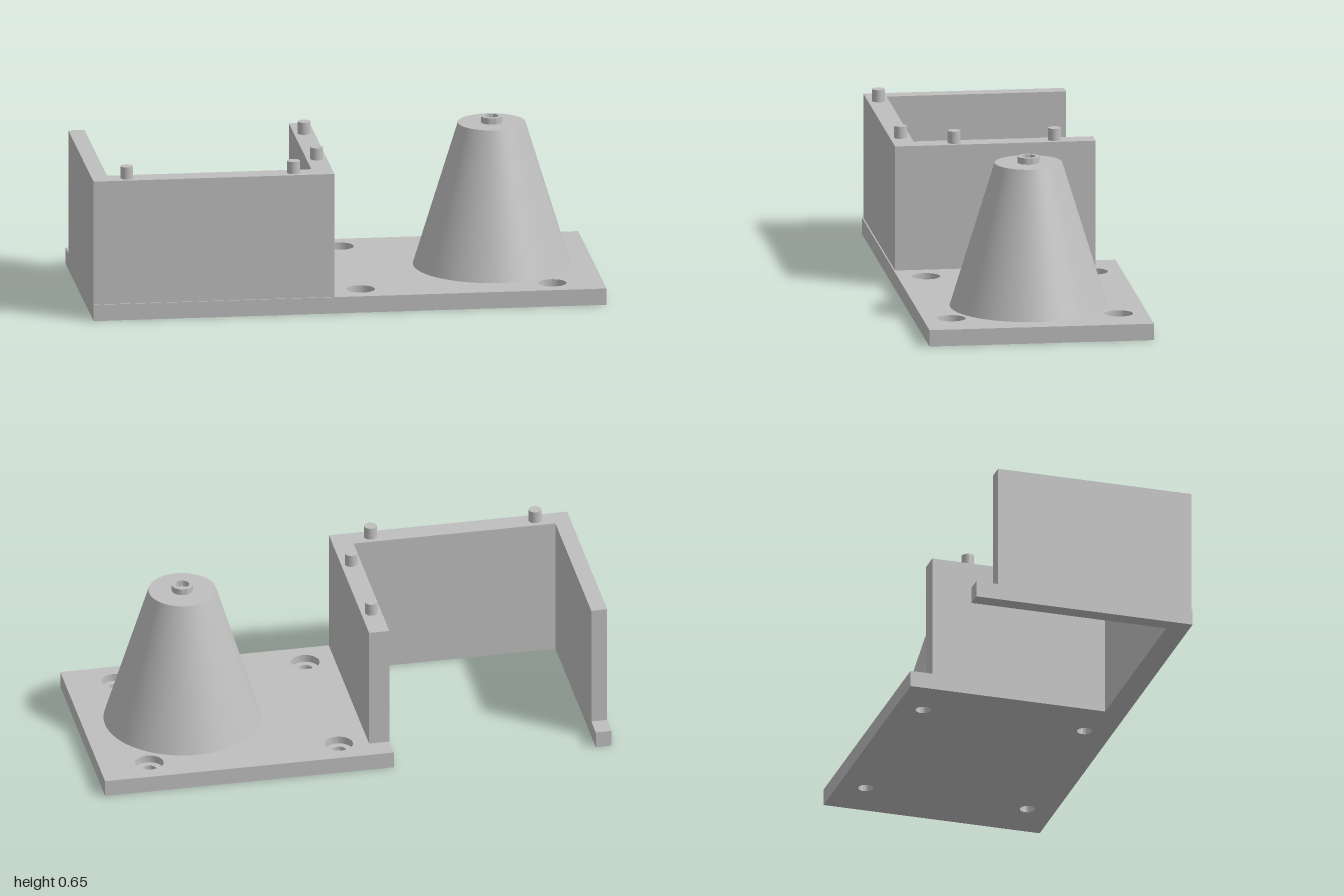
import * as THREE from 'three';
import { toCreasedNormals } from 'three/addons/utils/BufferGeometryUtils.js';

const PLATE = 0.065, WALL_TOP = 0.557, PEG_TOP = 0.605;
const CONE_X = 0.607, CONE_TOP = 0.63, TIP_TOP = 0.655;

export function createModel() {
  const group = new THREE.Group();
  const grey = new THREE.MeshStandardMaterial({ color: 0xbfbfbf });
  grey.name = 'grey';

  const add = (name, geometry, x = 0, y = 0, z = 0) => {
    const mesh = new THREE.Mesh(geometry, grey);
    mesh.name = name;
    mesh.position.set(x, y, z);
    group.add(mesh);
  };

  // Shape from [x, z] corners, later extruded upwards
  const outline = (points) => new THREE.Shape(points.map(([x, z]) => new THREE.Vector2(x, -z)));
  const drill = (shape, x, z, radius) =>
    shape.holes.push(new THREE.Path().absarc(x, -z, radius, 0, Math.PI * 2, true));
  const extrudeUp = (shape, depth) => {
    const g = new THREE.ExtrudeGeometry(shape, { depth, bevelEnabled: false, curveSegments: 40 });
    return toCreasedNormals(g.rotateX(-Math.PI / 2), 0.6);
  };

  // Base plate with a rectangular opening at the back and counterbored screw holes
  const plateLayer = (holeRadius, depth) => {
    const shape = outline([
      [-1, 0.438], [1, 0.438], [1, -0.438], [-0.14, -0.438],
      [-0.14, 0.35], [-0.937, 0.35], [-0.937, -0.438], [-1, -0.438],
    ]);
    for (const x of [0.055, 0.803])
      for (const z of [-0.327, 0.327]) drill(shape, x, z, holeRadius);
    return extrudeUp(shape, depth);
  };
  const split = 0.035;
  add('basePlateLower', plateLayer(0.029, split));
  add('basePlateUpper', plateLayer(0.055, PLATE - split), 0, split);

  // U-shaped wall around the opening
  add('wall', extrudeUp(outline([
    [-1, 0.433], [-0.06, 0.433], [-0.06, -0.35], [-0.14, -0.35],
    [-0.14, 0.35], [-0.937, 0.35], [-0.937, -0.35], [-1, -0.35],
  ]), WALL_TOP - PLATE), 0, PLATE);

  // Locating pegs on the wall
  const pegHeight = PEG_TOP - WALL_TOP;
  const peg = new THREE.CylinderGeometry(0.025, 0.025, pegHeight, 32);
  for (const [x, z] of [[-0.865, 0.392], [-0.215, 0.392], [-0.1, 0.197], [-0.1, -0.194]])
    add('peg', peg, x, WALL_TOP + pegHeight / 2, z);

  // Tapered post with a hollow tip
  const coneHeight = CONE_TOP - PLATE;
  add('cone', new THREE.CylinderGeometry(0.131, 0.305, coneHeight, 80), CONE_X, PLATE + coneHeight / 2);
  const ring = new THREE.Shape().absarc(0, 0, 0.042, 0, Math.PI * 2, false);
  drill(ring, 0, 0, 0.027);
  add('coneTip', extrudeUp(ring, TIP_TOP - CONE_TOP), CONE_X, CONE_TOP);

  return group;
}
